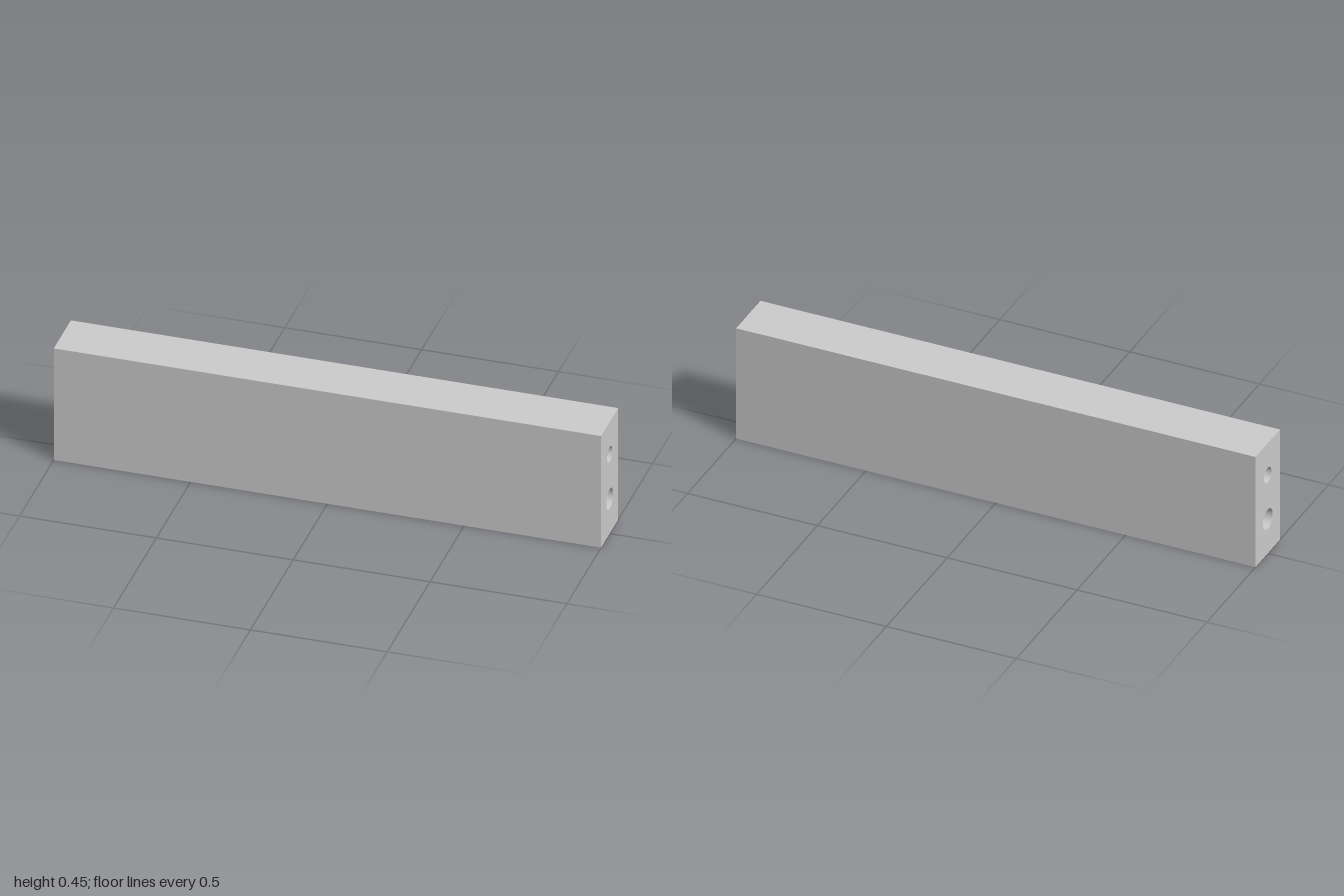
import * as THREE from 'three';

const LENGTH = 2, HEIGHT = 0.453, DEPTH = 0.2;
const BORES = [{ y: 0.322, r: 0.03 }, { y: 0.141, r: 0.04 }];
const BORE_DEPTH = 0.25;
const SLOT = { length: 0.846, width: 0.042, depth: 0.1 };

const solid = new THREE.MeshStandardMaterial({ color: 0xcccccc });
const inner = new THREE.MeshStandardMaterial({ color: 0xcccccc, side: THREE.DoubleSide });

function add(group, name, geometry, material = solid) {
  const mesh = new THREE.Mesh(geometry, material);
  mesh.name = name;
  group.add(mesh);
  return mesh;
}

// Box without some faces (order: +x, -x, +y, -y, +z, -z)
function openBox(w, h, d, removed) {
  const box = new THREE.BoxGeometry(w, h, d);
  const index = Array.from(box.index.array).filter((_, i) => !removed.includes(Math.floor(i / 6)));
  box.setIndex(index);
  box.clearGroups();
  return box;
}

// Rectangle centred on the origin
function rectangle(Type, w, h) {
  return new Type([[-1, -1], [1, -1], [1, 1], [-1, 1]]
    .map(([x, y]) => new THREE.Vector2(x * w / 2, y * h / 2)));
}

// End face with two blind bores, facing +z at z = 0
function createEnd() {
  const end = new THREE.Group();
  const face = rectangle(THREE.Shape, DEPTH, HEIGHT);
  for (const { y, r } of BORES) {
    const cy = y - HEIGHT / 2;
    face.holes.push(new THREE.Path().absarc(0, cy, r, 0, Math.PI * 2, true));
    add(end, 'boreWall', new THREE.CylinderGeometry(r, r, BORE_DEPTH, 48, 1, true)
      .rotateX(Math.PI / 2).translate(0, cy, -BORE_DEPTH / 2), inner);
    add(end, 'boreBottom', new THREE.CircleGeometry(r, 48).translate(0, cy, -BORE_DEPTH));
  }
  add(end, 'endFace', new THREE.ShapeGeometry(face, 24));
  return end;
}

export function createModel() {
  const beam = new THREE.Group();
  beam.name = 'beam';

  // Long faces and top
  add(beam, 'beamSides', openBox(LENGTH, HEIGHT, DEPTH, [0, 1, 3])).position.y = HEIGHT / 2;

  // Bored ends
  for (const side of [1, -1]) {
    const end = createEnd();
    end.name = side > 0 ? 'leftEnd' : 'rightEnd';
    end.position.set(side * LENGTH / 2, HEIGHT / 2, 0);
    end.rotation.y = side * Math.PI / 2;
    beam.add(end);
  }

  // Underside with a long blind slot
  const underside = rectangle(THREE.Shape, LENGTH, DEPTH);
  underside.holes.push(rectangle(THREE.Path, SLOT.length, SLOT.width));
  add(beam, 'underside', new THREE.ShapeGeometry(underside).rotateX(Math.PI / 2));
  add(beam, 'slotPocket', openBox(SLOT.length, SLOT.depth, SLOT.width, [3]), inner)
    .position.y = SLOT.depth / 2;

  return beam;
}
